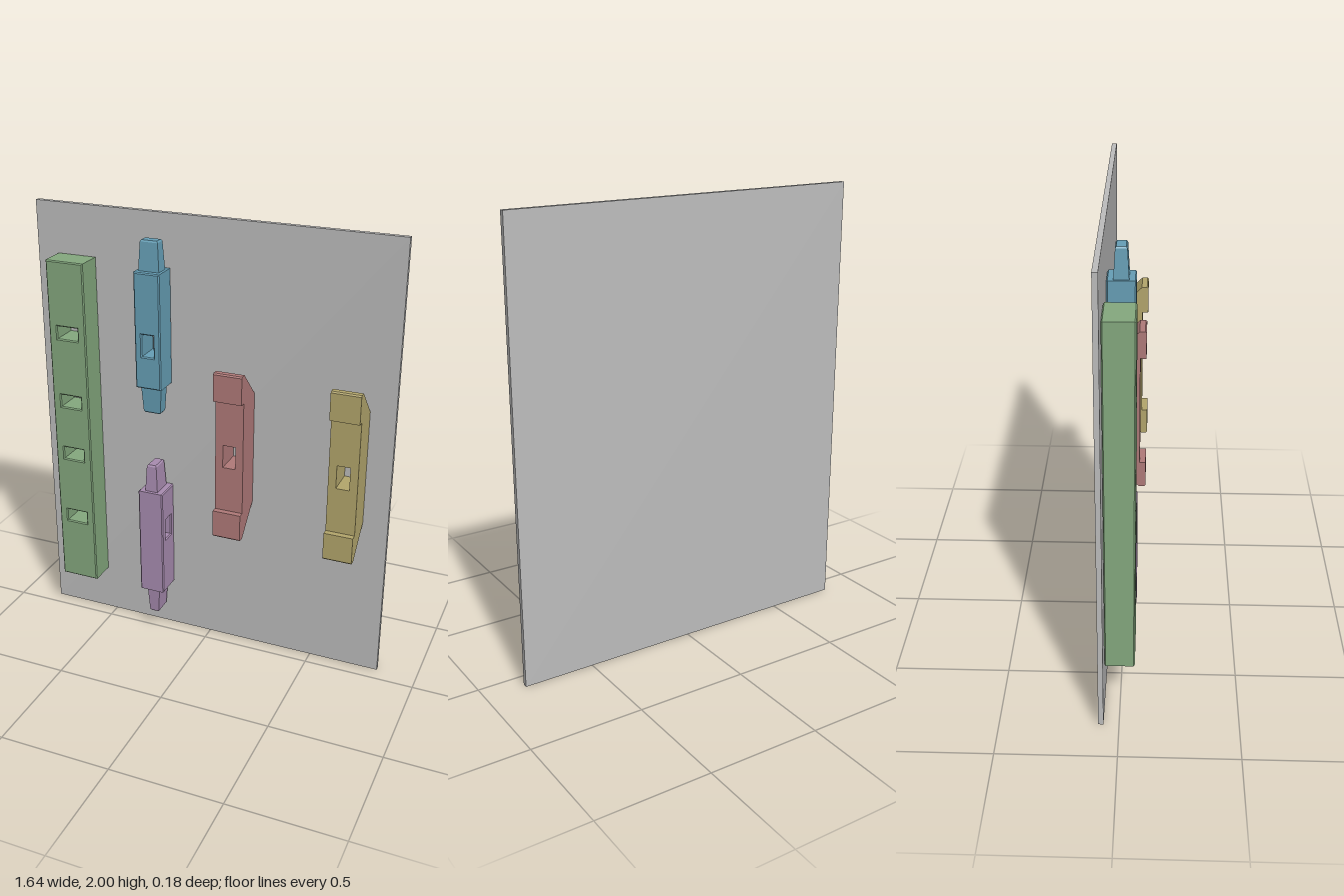
import * as THREE from 'three';

const material = (name, color) => {
  const m = new THREE.MeshStandardMaterial({ color });
  m.name = name;
  return m;
};

const BACK = -0.064; // plane where the timber meets the board
const BEVEL = 0.005;

function polygon(points) {
  return new THREE.Shape(points.map(([x, y]) => new THREE.Vector2(x, y)));
}

function rect(x0, x1, y0, y1) {
  return polygon([[x0, y0], [x1, y0], [x1, y1], [x0, y1]]);
}

// Chamfered slab from z0 to z1 with holes cut right through
function slab(shape, holes, z0, z1) {
  shape.holes = holes;
  return new THREE.ExtrudeGeometry(shape, {
    depth: z1 - z0 - 2 * BEVEL, bevelEnabled: true, bevelSegments: 1,
    bevelSize: BEVEL, bevelThickness: BEVEL, bevelOffset: -BEVEL,
  }).translate(0, 0, z0 + BEVEL);
}

// Turn a slab drawn in (-z, y) so that its depth runs along x
const sideways = (geometry) => geometry.rotateY(Math.PI / 2);

// Tapered tenon with a chamfered tip; dir is +1 upward, -1 downward
function tenon(width, depth, height, dir) {
  const g = new THREE.BoxGeometry(1, 2, 1, 1, 2, 1);
  const p = g.attributes.position;
  const rings = [[0, 0], [height - 0.007, 0.007], [height, 0.012]];
  for (let i = 0; i < p.count; i++) {
    const [y, inset] = rings[Math.round(p.getY(i)) + 1];
    p.setXYZ(i, p.getX(i) * (width - 2 * inset), y, p.getZ(i) * (depth - 2 * inset));
  }
  if (dir < 0) g.rotateX(Math.PI);
  const flat = g.toNonIndexed();
  flat.computeVertexNormals();
  return flat;
}

export function createModel() {
  const root = new THREE.Group();
  root.name = 'joineryDisplay';

  const add = (parent, name, geometry, mat, x = 0, y = 0, z = 0) => {
    const mesh = new THREE.Mesh(geometry, mat);
    mesh.name = name;
    mesh.position.set(x, y, z);
    parent.add(mesh);
    return mesh;
  };
  const group = (name) => {
    const g = new THREE.Group();
    g.name = name;
    root.add(g);
    return g;
  };

  const grey = material('board grey', 0xbebebe);
  const green = material('post green', 0x85a97f);
  const blue = material('rail blue', 0x67a0b7);
  const purple = material('rail purple', 0xa98db1);
  const red = material('bracket red', 0xb17b7a);
  const yellow = material('bracket yellow', 0xb4a76d);

  // Backing board
  add(root, 'backBoard', new THREE.BoxGeometry(1.64, 2, 0.022), grey, 0, 1, -0.076);

  // Tall post with four mortises
  const mortises = [0.55, 0.873, 1.132, 1.455].map((y) =>
    rect(-0.677, -0.577, y - 0.029, y + 0.029));
  add(root, 'mortisedPost', slab(rect(-0.716, -0.538, 0.225, 1.777), mortises, BACK, 0.062), green);

  // Upper rail, mortised from the front, with a tenon at each end
  const upper = group('upperRail');
  add(upper, 'upperRailBody',
    slab(rect(-0.304, -0.185, 1.252, 1.768), [rect(-0.272, -0.217, 1.398, 1.497)], BACK, 0.053), blue);
  add(upper, 'upperRailTopTenon', tenon(0.095, 0.062, 0.13, 1), blue, -0.245, 1.768, -0.006);
  add(upper, 'upperRailBottomTenon', tenon(0.095, 0.062, 0.127, -1), blue, -0.245, 1.252, -0.006);

  // Lower rail, mortised from the side, with a tenon at each end
  const lower = group('lowerRail');
  add(lower, 'lowerRailBody',
    sideways(slab(rect(-0.06, -BACK, 0.235, 0.75), [rect(-0.024, 0.032, 0.506, 0.605)], -0.304, -0.185)), purple);
  add(lower, 'lowerRailTopTenon', tenon(0.06, 0.098, 0.128, 1), purple, -0.245, 0.75, -0.004);
  add(lower, 'lowerRailBottomTenon', tenon(0.06, 0.098, 0.129, -1), purple, -0.245, 0.235, -0.004);

  // Brackets: notched profile with a square hole from front to back
  const FACE = 0.063;
  const HALF_WIDTH = 0.064, HALF_HOLE = 0.029;
  const tipLow = [[-FACE, 0.741], [-0.09, 0.741], [-0.09, 0.62], [-0.084, 0.614], [-0.06, 0.614], [-BACK, 0.741]];
  const tipHigh = tipLow.map(([u, y]) => [u, 2.003 - y]).reverse();
  const fullProfile = [...tipLow, ...tipHigh];
  const lowProfile = [...tipLow, [-BACK, 0.948], [-FACE, 0.948]];
  const highProfile = [...tipHigh, [-FACE, 1.053], [-BACK, 1.053]];
  const slice = (points, x0, x1) =>
    sideways(new THREE.ExtrudeGeometry(polygon(points), { depth: x1 - x0, bevelEnabled: false })).translate(x0, 0, 0);

  for (const [name, x, mat] of [['redBracket', 0.138, red], ['yellowBracket', 0.646, yellow]]) {
    const bracket = group(name);
    bracket.position.x = x;
    add(bracket, name + 'RightCheek', slice(fullProfile, -HALF_WIDTH, -HALF_HOLE), mat);
    add(bracket, name + 'LeftCheek', slice(fullProfile, HALF_HOLE, HALF_WIDTH), mat);
    add(bracket, name + 'LowerCore', slice(lowProfile, -HALF_HOLE, HALF_HOLE), mat);
    add(bracket, name + 'UpperCore', slice(highProfile, -HALF_HOLE, HALF_HOLE), mat);
  }

  return root;
}
